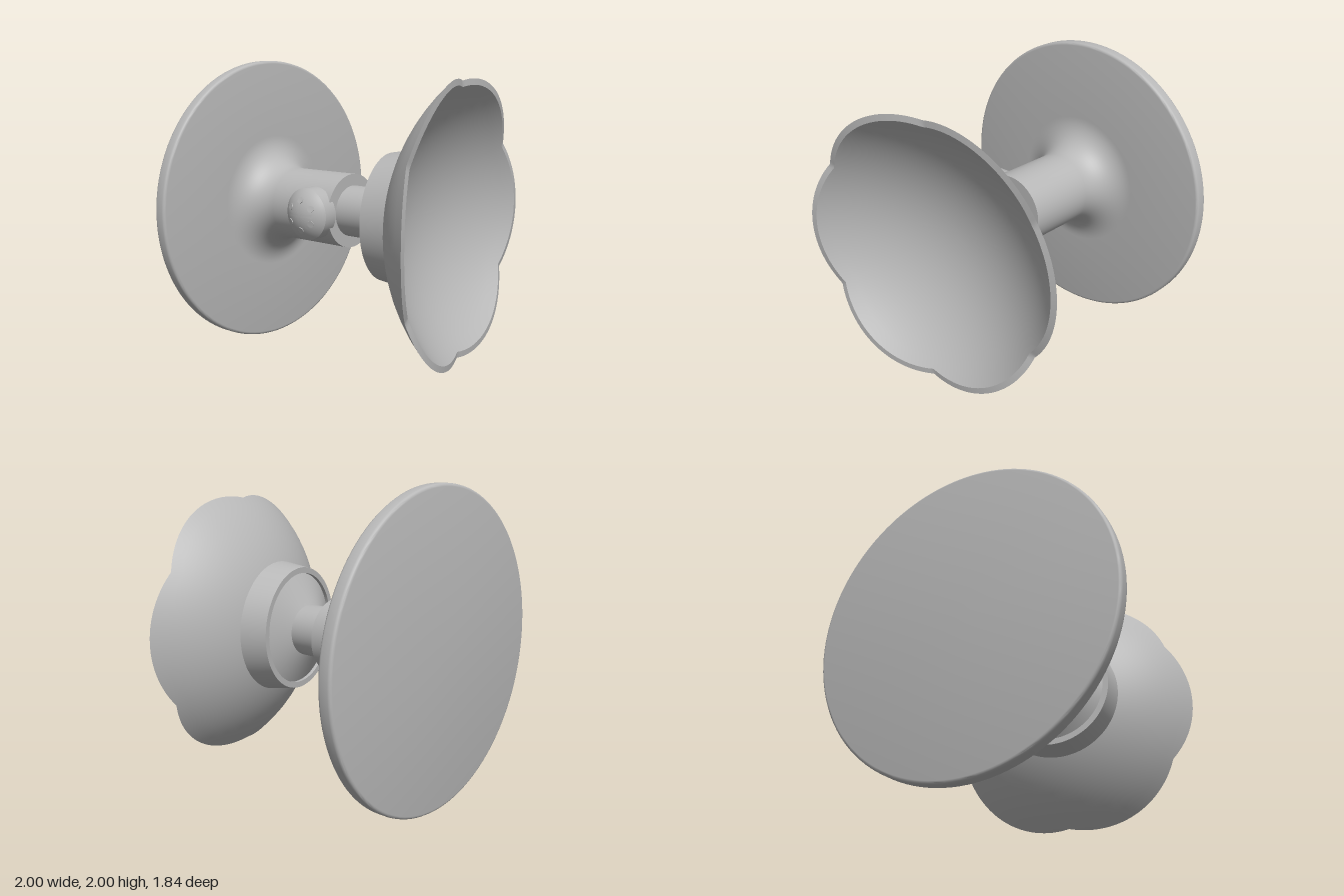
import * as THREE from 'three';
import { toCreasedNormals } from 'three/addons/utils/BufferGeometryUtils.js';

const gray = new THREE.MeshStandardMaterial({ color: 0xb8b8b8 });
gray.name = 'satin gray';

const TILT = THREE.MathUtils.degToRad(10);
const RIM_CENTRE = new THREE.Vector3(0.08, 1, 0.757);

function part(name, geometry) {
  const mesh = new THREE.Mesh(toCreasedNormals(geometry, 0.5), gray);
  mesh.name = name;
  return mesh;
}

// Turned shape whose axis runs along +z; profile is [radius, z] pairs
function turned(profile, segments = 96) {
  return new THREE.LatheGeometry(profile.map(([r, z]) => new THREE.Vector2(r, z)), segments).rotateX(Math.PI / 2);
}

// Points of an arc, as [radius, z] pairs
function arc(cx, cy, radius, from, to, steps) {
  return Array.from({ length: steps + 1 }, (_, i) => {
    const a = from + ((to - from) * i) / steps;
    return [cx + radius * Math.cos(a), cy + radius * Math.sin(a)];
  });
}

// Six-petalled outline: arcs about centres spread around the axis
function petalRadius(angle, inset) {
  const step = Math.PI / 3;
  const d = angle - Math.round(angle / step) * step;
  const offset = 0.25;
  return offset * Math.cos(d) + Math.sqrt(0.67 ** 2 - (offset * Math.sin(d)) ** 2) - inset;
}

// Spherical shell trimmed to the petal outline
function dishGeometry() {
  const rows = 16, count = 2 * (rows + 1), centre = 0.755;
  const profile = [];
  for (let i = 0; i < count; i++) profile.push([i <= rows ? i / rows : (count - 1 - i) / rows, 0]);
  const geo = turned(profile, 180);
  const pos = geo.attributes.position;
  for (let j = 0; j < pos.count; j++) {
    const outer = j % count <= rows;
    const x = pos.getX(j), y = pos.getY(j);
    const scale = petalRadius(Math.atan2(y, x), outer ? 0 : 0.04);
    const r = Math.hypot(x, y) * scale;
    const ball = outer ? 1.19 : 1.159;
    pos.setXYZ(j, x * scale, y * scale, centre - Math.sqrt(ball * ball - r * r));
  }
  return geo;
}

// Flare from the straight neck to the tilted collar
function flareGeometry() {
  const geo = new THREE.CylinderGeometry(0.378, 0.172, 1, 96, 1, true).rotateX(Math.PI / 2);
  const pos = geo.attributes.position;
  const v = new THREE.Vector3();
  const up = new THREE.Vector3(0, 1, 0);
  for (let i = 0; i < pos.count; i++) {
    v.fromBufferAttribute(pos, i);
    if (v.z > 0) {
      v.z = -0.505;
      v.applyAxisAngle(up, TILT).add(RIM_CENTRE);
    } else {
      v.set(v.x, v.y + 1, 0.15);
    }
    pos.setXYZ(i, v.x, v.y, v.z);
  }
  return geo;
}

export function createModel() {
  const model = new THREE.Group();
  model.name = 'tilting dish on wall mount';
  const H = Math.PI / 2;

  // Wall plate with rounded edge, blending into the post
  const base = part('wallPlateAndPost', turned([
    [0, -0.92],
    ...arc(0.98, -0.9, 0.02, -H, 0, 4),
    ...arc(0.98, -0.85, 0.02, 0, H, 4),
    ...arc(0.47, -0.61, 0.22, 3 * H, 2 * H, 14),
    [0.25, -0.1], [0, -0.1],
  ], 128));
  base.position.y = 1;
  model.add(base);

  const neck = part('neck', turned([[0.172, -0.12], [0.172, 0.15]]));
  neck.position.y = 1;
  model.add(neck, part('neckFlare', flareGeometry()));

  // Tilted head: collar and petalled dish
  const head = new THREE.Group();
  head.name = 'head';
  head.position.copy(RIM_CENTRE);
  head.rotation.y = TILT;
  head.add(
    part('collar', turned([[0.378, -0.36], [0.378, -0.53], [0.417, -0.53], [0.447, -0.345]])),
    part('petalDish', dishGeometry()),
  );
  model.add(head);

  // Domed locking knob on the side of the post
  const knob = new THREE.Group();
  knob.name = 'lockingKnob';
  const ball = 0.237, ballZ = 0.133;
  const edge = Math.atan2(0.295 - ballZ, 0.173);
  knob.add(part('knobBody', turned([
    [0, 0.2], [0.173, 0.2], ...arc(0, ballZ, ball, edge, H, 10),
  ], 64)));
  // Ring of small studs on the dome
  for (let i = 0; i < 6; i++) {
    const a = H + (i * Math.PI) / 3;
    const normal = new THREE.Vector3(0.1 * Math.cos(a), 0.1 * Math.sin(a), 0.215).normalize();
    const stud = part('knobStud', new THREE.CylinderGeometry(0.022, 0.022, 0.008, 20));
    stud.position.copy(normal).multiplyScalar(ball).add(new THREE.Vector3(0, 0, ballZ));
    stud.quaternion.setFromUnitVectors(new THREE.Vector3(0, 1, 0), normal);
    knob.add(stud);
  }
  knob.rotation.y = -H;
  knob.position.set(0, 1, -0.25);
  model.add(knob);

  return model;
}
